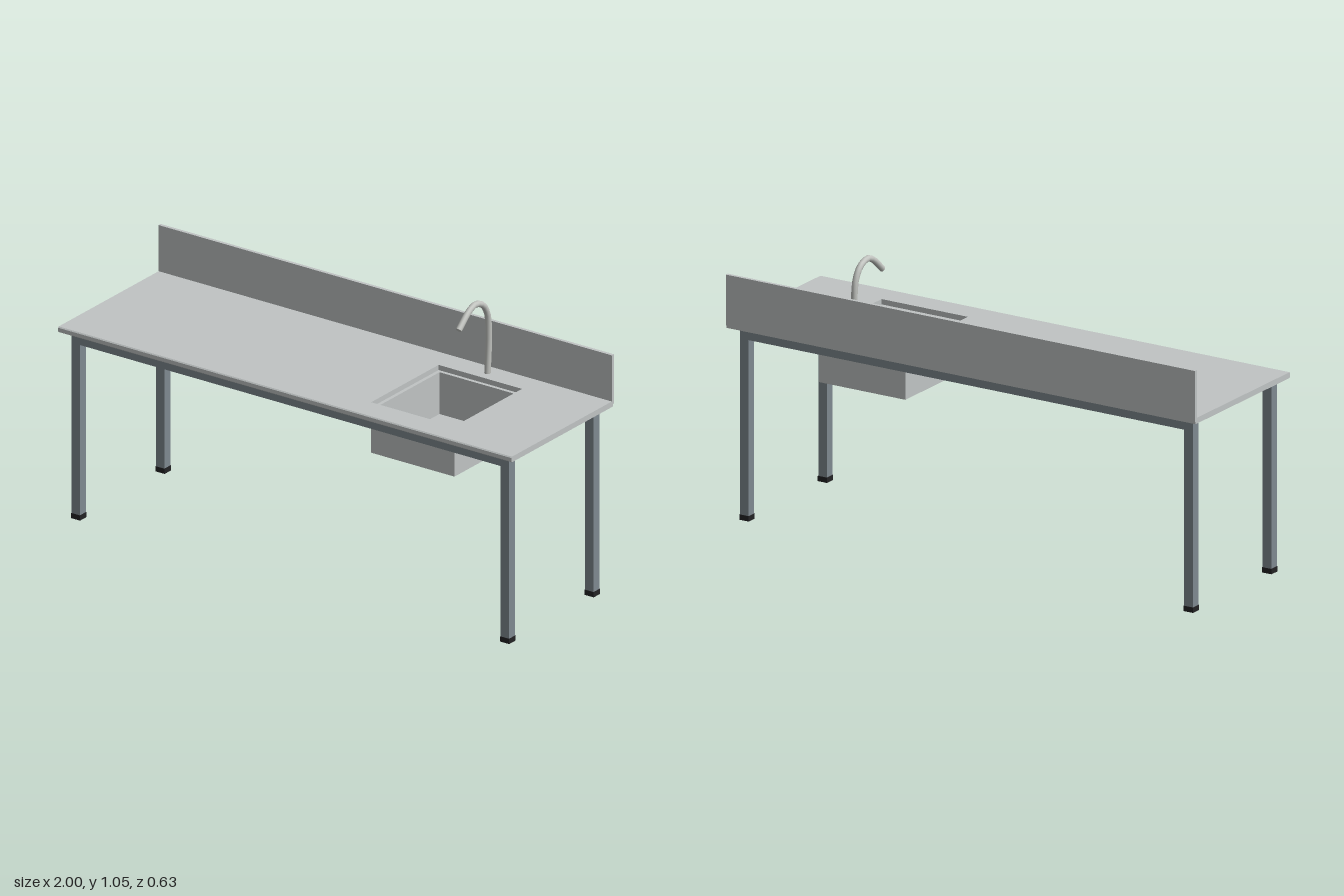
import * as THREE from 'three';

const material = (name, color, extra = {}) => {
  const m = new THREE.MeshStandardMaterial({ color, ...extra });
  m.name = name;
  return m;
};

export function createModel() {
  const group = new THREE.Group();
  const steel = material('brushed steel', 0xc0c4c4);
  const frame = material('grey frame', 0x7f8990);
  const rubber = material('black rubber', 0x222224);
  const chrome = material('tap metal', 0xc0c2be);

  const add = (name, geometry, mat) => {
    const mesh = new THREE.Mesh(geometry, mat);
    mesh.name = name;
    group.add(mesh);
    return mesh;
  };
  // Box given by its limits on each axis
  const box = (name, mat, [x0, x1], [y0, y1], [z0, z1]) => {
    const mesh = add(name, new THREE.BoxGeometry(x1 - x0, y1 - y0, z1 - z0), mat);
    mesh.position.set((x0 + x1) / 2, (y0 + y1) / 2, (z0 + z1) / 2);
    return mesh;
  };

  const under = 0.728, top = 0.75;
  const front = 0.314, back = -0.31;
  const sink = { x0: 0.305, x1: 0.673, z0: -0.205, z1: 0.208 };

  // Worktop slab section with softened front edge, extruded along x
  const slab = (name, x0, x1, z0, z1) => {
    const c = z1 === front ? 0.004 : 0;
    const s = new THREE.Shape();
    s.moveTo(-z0, under);
    s.lineTo(-z0, top);
    s.lineTo(-z1 + c, top);
    if (c) s.lineTo(-z1, top - c);
    if (c) s.lineTo(-z1, under + c);
    s.lineTo(-z1 + c, under);
    const g = new THREE.ExtrudeGeometry(s, { depth: x1 - x0, bevelEnabled: false });
    g.rotateY(Math.PI / 2);
    g.translate(x0, 0, 0);
    add(name, g, steel);
  };
  slab('worktopRight', -1, sink.x0, back, front);
  slab('worktopLeft', sink.x1, 1, back, front);
  slab('worktopFrontStrip', sink.x0, sink.x1, sink.z1, front);
  slab('worktopBackStrip', sink.x0, sink.x1, back, sink.z0);
  box('backsplash', steel, [-1, 1], [0.738, 0.93], [-0.314, -0.301]);

  // Basin: walls as an extruded ring, then the floor
  const wall = 0.014, bottom = 0.553;
  const rect = (path, d) => {
    path.moveTo(sink.x0 + d, -sink.z1 + d);
    path.lineTo(sink.x1 - d, -sink.z1 + d);
    path.lineTo(sink.x1 - d, -sink.z0 - d);
    path.lineTo(sink.x0 + d, -sink.z0 - d);
    path.closePath();
    return path;
  };
  const ring = rect(new THREE.Shape(), 0);
  ring.holes.push(rect(new THREE.Path(), wall));
  const walls = new THREE.ExtrudeGeometry(ring, { depth: under + 0.002 - bottom, bevelEnabled: false });
  walls.rotateX(-Math.PI / 2);
  add('basinWalls', walls, steel).position.y = bottom;
  box('basinFloor', steel, [sink.x0 + wall, sink.x1 - wall], [bottom, bottom + wall],
    [sink.z0 + wall, sink.z1 - wall]);
  add('drain', new THREE.CylinderGeometry(0.022, 0.022, 0.006, 12), rubber)
    .position.set(0.489, bottom + wall + 0.002, 0);

  // Legs with feet
  for (const x of [-0.947, 0.947]) {
    for (const z of [-0.256, 0.261]) {
      const h = 0.0185;
      box('leg', frame, [x - h, x + h], [0.018, under], [z - h, z + h]);
      const f = h + 0.0015;
      box('foot', rubber, [x - f, x + f], [0, 0.02], [z - f, z + f]);
    }
  }
  // Long rails under the front and back edges
  for (const z of [-0.256, 0.261]) {
    box('rail', frame, [-0.93, 0.93], [0.684, under], [z - 0.0175, z + 0.0175]);
  }

  // Swan-neck tap
  const tapX = 0.489, r = 0.0118;
  const path = new THREE.CatmullRomCurve3([
    [-0.249, 0.748], [-0.257, 0.89], [-0.25, 0.975], [-0.228, 1.018], [-0.2, 1.037],
    [-0.166, 1.043], [-0.132, 1.028], [-0.073, 0.978],
  ].map(([z, y]) => new THREE.Vector3(tapX, y, z)));
  add('tap', new THREE.TubeGeometry(path, 20, r, 12), chrome);
  const outlet = add('tapOutlet', new THREE.CircleGeometry(r, 12), chrome);
  outlet.position.copy(path.getPoint(1));
  outlet.lookAt(path.getPoint(1).add(path.getTangent(1)));

  return group;
}
